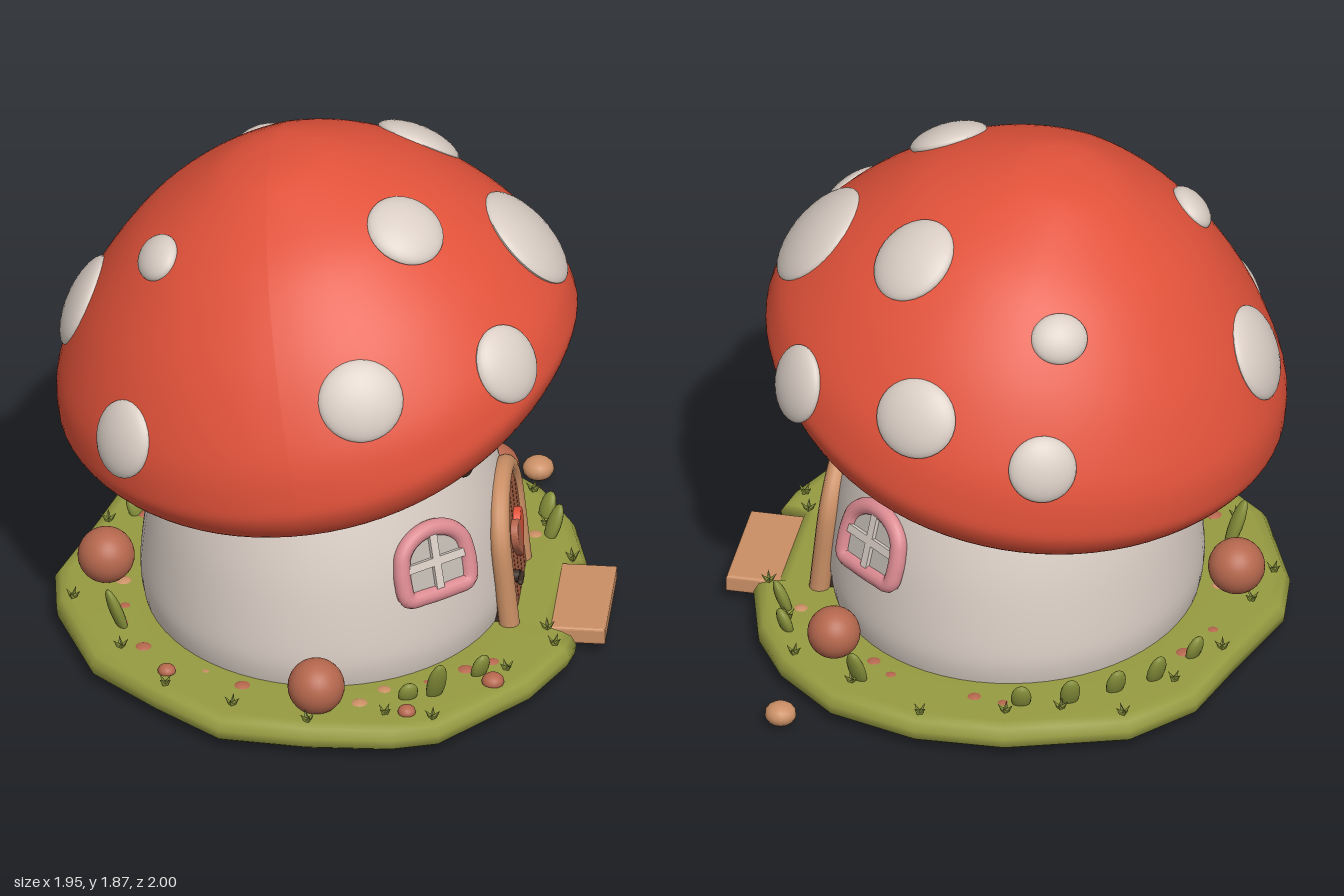
import * as THREE from 'three';

const mat = (name, color) => Object.assign(new THREE.MeshStandardMaterial({ color }), { name });
const M = {
  red: mat('cap red', 0xe2523a),
  cream: mat('cream', 0xdacec5),
  green: mat('grass green', 0x969b41),
  leaf: mat('leaf green', 0x858f3a),
  clay: mat('clay', 0xb5674d),
  wood: mat('light wood', 0xca8f65),
  door: mat('door brown', 0xae6345),
  pink: mat('pink', 0xdb8a91),
  dark: mat('dark brown', 0x3a2b22),
  pane: mat('window pane', 0xbfb8b0),
};
const V2 = (p) => new THREE.Vector2(p[0], p[1]);
const V3 = (x, y, z) => new THREE.Vector3(x, y, z);

function add(parent, name, geometry, material, x = 0, y = 0, z = 0) {
  const m = new THREE.Mesh(geometry, material);
  m.name = name;
  m.position.set(x, y, z);
  parent.add(m);
  return m;
}

const lathe = (points, steps, ...arc) => new THREE.LatheGeometry(new THREE.SplineCurve(points.map(V2)).getPoints(steps), ...arc);

const extrude = (shape, depth, bevel = 0) => new THREE.ExtrudeGeometry(shape, {
  depth, bevelEnabled: bevel > 0, bevelSize: bevel, bevelThickness: bevel, bevelSegments: 3, curveSegments: 16,
});

// Puts an object on a surface where a ray hits it, facing along the surface normal
function stick(obj, target, origin, dir, lift = 0) {
  const hit = new THREE.Raycaster(origin, dir.normalize()).intersectObject(target)[0];
  if (!hit) return;
  const n = hit.face.normal.clone().transformDirection(target.matrixWorld);
  obj.position.copy(hit.point).addScaledVector(n, lift);
  obj.lookAt(obj.position.clone().add(n));
}

// Cap rim rises at the front, droops at the sides; the back slope is flatter
function capGeometry(points, steps) {
  const g = lathe(points, steps, 80), p = g.attributes.position;
  for (let i = 0; i < p.count; i++) {
    const x = p.getX(i), y = p.getY(i), z = p.getZ(i), low = 1 - y / 0.885;
    const rise = 0.07 * Math.max(0, x / 0.92) ** 3 * low, droop = 0.085 * z * z * low * low;
    const flat = 0.1 * Math.max(0, -x) * Math.max(0, y);
    p.setXYZ(i, x * 1.008, y + rise - droop - flat, z * 0.985);
  }
  g.computeVertexNormals();
  return g;
}

// Domed spot, bent to follow the cap
function spotGeometry(rx, ry) {
  const g = new THREE.SphereGeometry(1, 28, 16).scale(rx, ry, 0.042), p = g.attributes.position;
  for (let i = 0; i < p.count; i++) p.setZ(i, p.getZ(i) - (p.getX(i) ** 2 + p.getY(i) ** 2) / 1.8);
  g.computeVertexNormals();
  return g;
}

const OUTLINE = [[-.18, -.99], [.14, -1], [.46, -.9], [.68, -.7], [.8, -.5], [.87, -.24], [.8, -.22], [.8, .24],
  [.88, .28], [.86, .37], [.75, .6], [.46, .93], [.3, .98], [0, .995], [-.31, .97], [-.55, .79], [-.79, .58],
  [-.95, .21], [-.975, 0], [-.87, -.34], [-.79, -.63], [-.6, -.85], [-.39, -.92]];

// Ground slab: the outline scaled along a [scale, height] section, hollow and stepped below
function groundGeometry() {
  const section = [[0, .11], [.7, .115], [.94, .115], [.98, .105], [1, .075], [.995, .04], [.97, .022],
    [.94, .025], [.89, .08], [.64, .09], [.62, .065], [.44, .06], [.42, .08], [0, .085]];
  const n = OUTLINE.length, pos = [], idx = [];
  section.forEach(([s, y]) => OUTLINE.forEach(([x, z]) => pos.push(x * s, y, z * s)));
  for (let i = 0; i < section.length - 1; i++) for (let j = 0; j < n; j++) {
    const a = i * n + j, b = i * n + (j + 1) % n;
    idx.push(a, b, a + n, b, b + n, a + n);
  }
  const g = new THREE.BufferGeometry();
  g.setAttribute('position', new THREE.Float32BufferAttribute(pos, 3));
  g.setIndex(idx);
  g.computeVertexNormals();
  return g;
}

function makeDoor() {
  const door = new THREE.Group(), r = 0.22, spring = 0.27;
  door.name = 'door';
  const top = (x) => spring + Math.sqrt(Math.max(0, r * r - x * x));
  const strip = (x0, x1) => {
    const pts = [[x0, 0], [x1, 0]];
    for (let i = 0; i <= 8; i++) { const x = x1 + (x0 - x1) * i / 8; pts.push([x, top(x)]); }
    return new THREE.Shape(pts.map(V2));
  };
  add(door, 'doorBacking', extrude(strip(-r, r), 0.06), M.dark, 0, 0, -0.055);
  const w = 2 * r / 6;
  for (let i = 0; i < 6; i++)
    add(door, 'doorPlank', extrude(strip(-r + i * w + 0.003, -r + (i + 1) * w - 0.003), 0.02), M.door);
  // Arched frame
  const path = [V3(-r, -0.02, 0), V3(-r, 0.13, 0)];
  for (let i = 0; i <= 12; i++) {
    const a = Math.PI * (1 - i / 12);
    path.push(V3(r * Math.cos(a), spring + r * Math.sin(a), 0));
  }
  path.push(V3(r, 0.13, 0), V3(r, -0.02, 0));
  add(door, 'doorFrame', new THREE.TubeGeometry(new THREE.CatmullRomCurve3(path), 60, 0.037, 12), M.wood);
  // Heart in two halves
  for (const s of [1, -1]) {
    const h = new THREE.Shape();
    h.moveTo(0, -0.08);
    h.bezierCurveTo(s * 0.03, -0.05, s * 0.085, -0.01, s * 0.083, 0.035);
    h.bezierCurveTo(s * 0.08, 0.085, s * 0.015, 0.085, 0, 0.045);
    add(door, 'heartHalf', extrude(h, 0.016, 0.006), s > 0 ? M.red : M.clay, 0, 0.24, 0.024);
  }
  // Handle
  add(door, 'handlePlate', new THREE.CylinderGeometry(0.022, 0.022, 0.03, 16).rotateX(Math.PI / 2), M.dark, -0.13, 0.15, 0.03);
  add(door, 'handleLever', new THREE.CapsuleGeometry(0.01, 0.06, 4, 10).rotateZ(Math.PI / 2), M.dark, -0.155, 0.155, 0.05);
  return door;
}

function makeWindow() {
  const win = new THREE.Group(), pts = [[-.125, -.11], [-.06, -.118], [.06, -.118], [.125, -.11], [.137, -.05]];
  win.name = 'window';
  for (let i = 0; i <= 8; i++) {
    const a = Math.PI * i / 8;
    pts.push([0.133 * Math.cos(a), 0.01 + 0.108 * Math.sin(a)]);
  }
  pts.push([-.137, -.05]);
  const curve = new THREE.CatmullRomCurve3(pts.map(([x, y]) => V3(x, y, 0)), true);
  add(win, 'windowFrame', new THREE.TubeGeometry(curve, 64, 0.031, 12, true), M.pink);
  add(win, 'windowPane', extrude(new THREE.Shape(pts.map(V2)), 0.008), M.pane);
  add(win, 'windowBarUpright', new THREE.BoxGeometry(0.03, 0.22, 0.022), M.cream, 0, 0, 0.012);
  add(win, 'windowBarAcross', new THREE.BoxGeometry(0.25, 0.03, 0.022), M.cream, 0, 0, 0.012);
  return win;
}

export function createModel() {
  const root = new THREE.Group();
  root.name = 'mushroomHouse';

  // Stalk wall, with a ragged collar above the door
  const wall = add(root, 'wall', lathe([[.69, .06], [.715, .15], [.72, .25], [.695, .45], [.66, .6], [.61, .75],
    [.56, .88], [.52, 1], [.48, 1.15]], 30, 64), M.cream, -0.02, 0, 0);
  const collarGeo = lathe([[.535, .985], [.522, 1.03], [.49, 1.15]], 6, 24, .8, 1.4), cp = collarGeo.attributes.position;
  for (let i = 0; i < cp.count; i += 7) cp.setY(i, cp.getY(i) + .018 * Math.sin(i * .16));
  const collar = add(root, 'collar', collarGeo, M.wood, -0.02, 0, 0);
  wall.scale.x = collar.scale.x = 0.905;

  // Leaning cap with its underside
  const cap = add(root, 'cap', capGeometry([[.64, -.125], [.69, -.148], [.75, -.155], [.845, -.11], [.91, -.03], [.922, .05],
    [.89, .2], [.77, .42], [.61, .61], [.455, .735], [.23, .85], [.1, .882], [0, .885]], 60), M.red, -0.045, 0.98, -0.025);
  const under = add(root, 'capUnderside', capGeometry([[.35, .08], [.5, -.02], [.64, -.125]], 8), M.wood);
  under.position.copy(cap.position);
  cap.rotation.z = under.rotation.z = 0.2;
  root.updateMatrixWorld(true);

  // Cap spots: x, z, radius across, radius up
  [[-.29, -.86, .12, .12], [.17, -.83, .15, .14], [-.3, -.62, .1, .09], [.26, -.44, .15, .16], [.64, -.6, .13, .14],
    [.68, -.1, .21, .2], [-.89, -.05, .17, .17], [-.59, .25, .1, .085], [-.68, .61, .13, .14], [.28, .26, .14, .14],
    [.655, .46, .13, .14], [.17, .75, .15, .145]].forEach(([x, z, rx, ry]) =>
    stick(add(root, 'capSpot', spotGeometry(rx, ry), M.cream), cap, V3(x, 3, z), V3(0, -1, 0), 0.005));

  // Eyes and blush
  for (const z of [.25, -.16])
    stick(add(root, 'eye', new THREE.SphereGeometry(1, 24, 16).scale(.053, .058, .03), M.dark), wall, V3(2, .785, z), V3(-1, 0, 0), .008);
  [['blush', .052, M.pink, .003], ['blushCentre', .026, M.clay, .005]].forEach(([name, r, m, lift]) =>
    stick(add(root, name, new THREE.CylinderGeometry(r, r, .008, 20).rotateX(Math.PI / 2), m),
      wall, V3(2, .7, -.245), V3(-1, 0, 0), lift));

  // Windows on both sides of the door
  for (const z of [.96, -1.04]) {
    const win = makeWindow();
    root.add(win);
    stick(win, wall, V3(.39 * 3, .53, .51 * z * 3), V3(-.39, 0, -.51 * z), .008);
  }

  // Door and doorstep
  const door = makeDoor();
  door.position.set(.64, .1, 0);
  door.rotation.set(0, Math.PI / 2, 0);
  door.rotateX(-.1);
  root.add(door);
  add(root, 'doorstep', extrude(new THREE.Shape([[-.1, -.21], [.965, -.21], [.965, .2], [-.1, .2]].map(V2)), .044, .01)
    .rotateX(-Math.PI / 2), M.wood, 0, .05, 0);

  add(root, 'ground', groundGeometry(), M.green);

  // Round bushes
  [[-.79, .21, .06, .1], [.02, .19, .825, .1], [.5, .21, -.64, .093]].forEach(([x, y, z, r]) =>
    add(root, 'bush', new THREE.SphereGeometry(r, 28, 18), M.clay, x, y, z));

  // Leaves: x, z, length, leaning outward
  [[.42, .71, .16], [.33, .74, .08], [.72, -.37, .13], [.69, -.5, .1], [-.7, .36, .17], [.56, .56, .1],
    [-.62, -.55, .12], [-.5, -.65, .11], [-.36, -.75, .12], [-.2, -.8, .1], [.38, -.76, .14], [-.72, -.38, .1]].forEach(([x, z, len]) => {
    const g = new THREE.SphereGeometry(1, 14, 10).scale(.036, len * .6, .022).translate(0, len * .45, 0);
    const leaf = add(root, 'leaf', g, M.leaf, x, .1, z);
    leaf.rotation.set(.35, Math.atan2(x, z), 0, 'YXZ');
  });

  // Grass tufts along the rim
  const blade = new THREE.ConeGeometry(.012, .045, 4).translate(0, .02, 0);
  OUTLINE.forEach(([x, z], i) => {
    if (i === 6 || i === 7) return;
    const tuft = new THREE.Group(), s = i % 2 ? .94 : .88;
    tuft.name = 'grassTuft';
    tuft.position.set(x * s, .112, z * s);
    for (let k = 0; k < 4; k++) add(tuft, 'grassBlade', blade, M.leaf).rotation.set(.7, k * 1.57 + i, 0, 'YXZ');
    root.add(tuft);
  });

  // Pebbles set through the ground
  const pebble = (x, y, z, r, m) => add(root, 'pebble', new THREE.SphereGeometry(r, 14, 10).scale(1, .75, 1), m, x, y, z);
  for (let i = 0; i < 30; i++) {
    const a = i * 2.4 + .3, d = .74 + .1 * ((i * 7) % 10) / 10;
    if (Math.cos(a) > .9) continue;
    pebble(Math.cos(a) * d * .95, .092, Math.sin(a) * d, .03 + .003 * (i % 5), i % 3 ? M.clay : M.wood);
  }
  [[.62, .12, .62, .04, M.clay], [.34, .12, .85, .032, M.clay], [-.52, .12, .66, .032, M.clay]].forEach((p) => pebble(...p));
  pebble(.63, .04, -.93, .056, M.wood);
  pebble(.93, .028, .12, .036, M.wood);
  return root;
}
